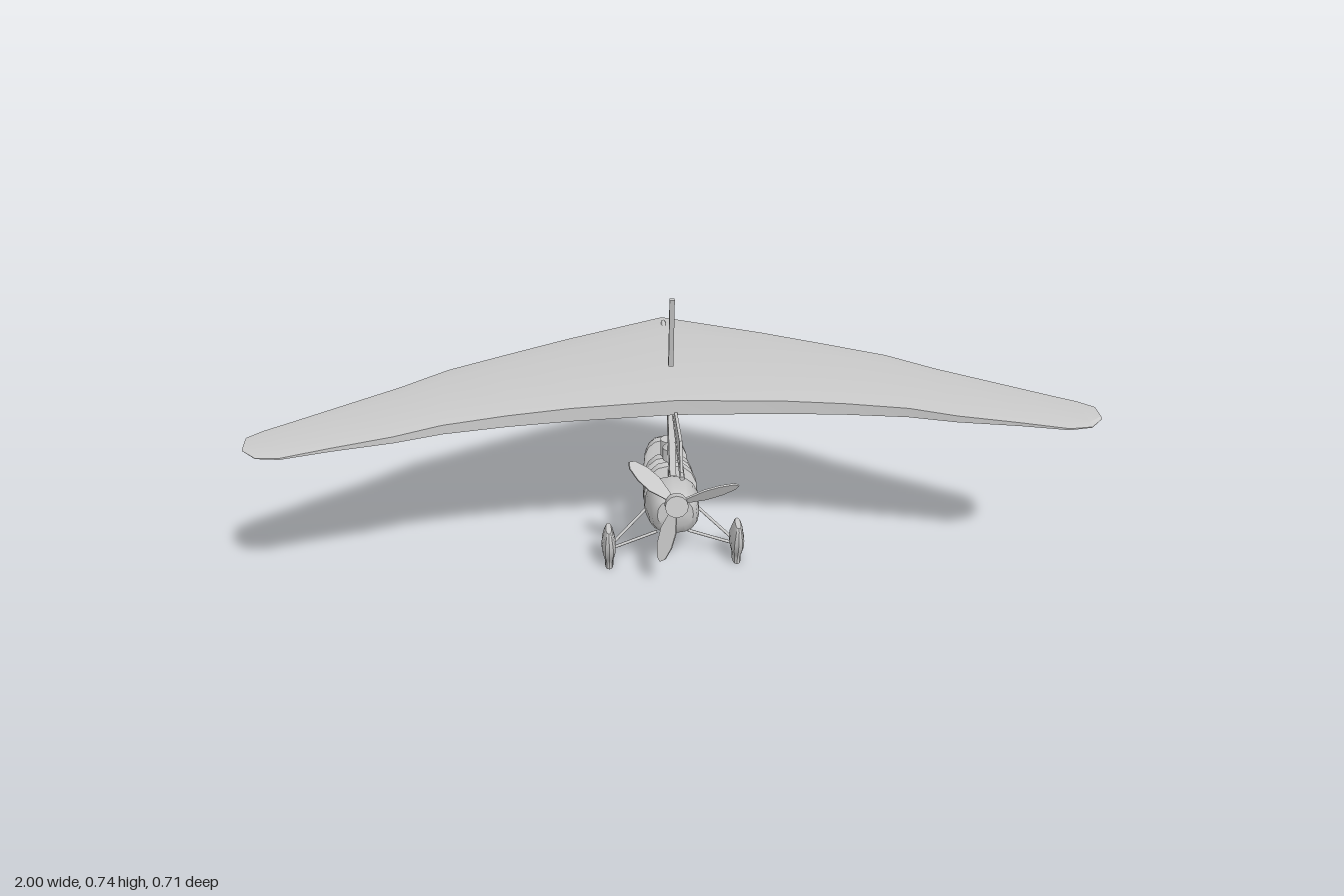
import * as THREE from 'three';
import { toCreasedNormals } from 'three/addons/utils/BufferGeometryUtils.js';

const grey = new THREE.MeshStandardMaterial({ color: 0xcccccc });
const V = (x, y, z) => new THREE.Vector3(x, y, z);

function part(name, geometry, parent) {
  const mesh = new THREE.Mesh(geometry, grey);
  mesh.name = name;
  parent.add(mesh);
  return mesh;
}

// Closed skin over rings of points, each counter-clockwise seen from the first end
function loft(rings, crease = 0.6) {
  const n = rings[0].length, pos = [], index = [];
  rings.forEach(r => r.forEach(p => pos.push(p.x, p.y, p.z)));
  for (let i = 0; i < rings.length - 1; i++) {
    for (let j = 0; j < n; j++) {
      const a = i * n + j, b = i * n + (j + 1) % n;
      index.push(a, a + n, b, b, a + n, b + n);
    }
  }
  [0, rings.length - 1].forEach(i => {
    const mid = rings[i].reduce((s, p) => s.add(p), V(0, 0, 0)).divideScalar(n);
    const c = pos.length / 3;
    pos.push(mid.x, mid.y, mid.z);
    for (let j = 0; j < n; j++) {
      const a = i * n + j, b = i * n + (j + 1) % n;
      if (i === 0) index.push(c, a, b); else index.push(c, b, a);
    }
  });
  const g = new THREE.BufferGeometry();
  g.setAttribute('position', new THREE.Float32BufferAttribute(pos, 3));
  g.setIndex(index);
  return toCreasedNormals(g, crease);
}

// Flat plate in the centre plane from [z, y] corners
function plate(corners, thickness) {
  const shape = new THREE.Shape(corners.map(c => new THREE.Vector2(c[0], c[1])));
  const g = new THREE.ExtrudeGeometry(shape, { depth: thickness, bevelEnabled: false });
  return g.translate(0, 0, -thickness / 2).rotateY(-Math.PI / 2);
}

// Round bar between two points
function bar(a, b, r) {
  const d = b.clone().sub(a);
  const g = new THREE.CylinderGeometry(r, r, d.length(), 8);
  g.applyQuaternion(new THREE.Quaternion().setFromUnitVectors(V(0, 1, 0), d.clone().normalize()));
  const m = a.clone().add(b).multiplyScalar(0.5);
  return g.translate(m.x, m.y, m.z);
}

const power = (v, e) => Math.sign(v) * Math.abs(v) ** e;

function fuselage() {
  // z, top, bottom, half width
  const stations = [
    [0.15, 0.243, 0.165, 0.045], [0.135, 0.248, 0.135, 0.056], [0.1, 0.247, 0.115, 0.064],
    [0.05, 0.243, 0.095, 0.068], [0.025, 0.235, 0.087, 0.07], [0.012, 0.21, 0.085, 0.07],
    [0, 0.25, 0.083, 0.07], [-0.02, 0.252, 0.08, 0.07], [-0.032, 0.237, 0.078, 0.07],
    [-0.065, 0.185, 0.073, 0.069], [-0.085, 0.225, 0.07, 0.068], [-0.11, 0.224, 0.066, 0.067],
    [-0.125, 0.188, 0.064, 0.066], [-0.14, 0.16, 0.062, 0.065], [-0.185, 0.135, 0.062, 0.062],
    [-0.202, 0.208, 0.063, 0.06], [-0.22, 0.21, 0.063, 0.058], [-0.24, 0.2, 0.064, 0.055],
    [-0.3, 0.153, 0.066, 0.042], [-0.335, 0.122, 0.068, 0.03], [-0.355, 0.104, 0.078, 0.018]];
  return loft(stations.map(([z, top, bottom, w]) => {
    const mid = bottom + (top - bottom) * 0.42;
    return Array.from({ length: 16 }, (_, i) => {
      const a = i / 16 * Math.PI * 2, s = Math.sin(a);
      return V(w * power(Math.cos(a), 0.8), mid + power(s, 0.85) * (s > 0 ? top - mid : mid - bottom), z);
    });
  }));
}

function wing() {
  // x, leading z, trailing z, leading y, top y, bottom y
  const half = [
    [0, -0.335, 0.155, 0.508, 0.529, 0.487], [0.25, -0.217, 0.168, 0.512, 0.525, 0.487],
    [0.4, -0.147, 0.185, 0.51, 0.521, 0.488], [0.55, -0.077, 0.212, 0.507, 0.517, 0.49],
    [0.66, 0, 0.25, 0.505, 0.513, 0.493], [0.8, 0.085, 0.285, 0.503, 0.509, 0.497],
    [0.91, 0.153, 0.316, 0.502, 0.506, 0.499], [0.965, 0.187, 0.31, 0.502, 0.505, 0.5],
    [1, 0.215, 0.272, 0.501, 0.503, 0.5]];
  const all = [...half.slice(1).reverse().map(([x, ...r]) => [-x, ...r]), ...half];
  return loft(all.map(([x, lead, trail, ly, top, bottom]) => {
    const chord = trail - lead;
    return [V(x, bottom, trail), V(x, top - 0.003, trail), V(x, top, trail - chord * 0.15),
      V(x, top - 0.001, lead + chord * 0.22), V(x, ly, lead)];
  }), 0.25);
}

// Streamlined cover with the tyre showing below
function wheelPod() {
  // y, rear-most z, front-most z, half width
  const levels = [[0.124, 0.06, 0.112, 0.007], [0.115, 0.053, 0.117, 0.011], [0.075, 0.022, 0.117, 0.018],
    [0.05, 0.01, 0.109, 0.018], [0.03, 0.024, 0.096, 0.014], [0.018, 0.028, 0.09, 0.011], [0, 0.028, 0.09, 0.011]];
  return loft(levels.map(([y, z0, z1, w]) => Array.from({ length: 12 }, (_, i) => {
    const a = i / 12 * Math.PI * 2;
    return V(w * power(Math.cos(a), 0.8), y, (z0 + z1) / 2 - (z1 - z0) / 2 * power(Math.sin(a), 0.8));
  })));
}

function propeller() {
  const prop = new THREE.Group();
  prop.name = 'propeller';
  part('propellerHub', new THREE.CylinderGeometry(0.029, 0.029, 0.022, 12).rotateX(Math.PI / 2).translate(0, 0, 0.013), prop);
  part('propellerShaft', new THREE.CylinderGeometry(0.024, 0.012, 0.035, 12).rotateX(Math.PI / 2).translate(0, 0, -0.012), prop);
  const outline = [[-0.007, 0.015], [0.007, 0.015], [0.022, 0.075], [0.021, 0.115], [0.012, 0.15], [0, 0.161],
    [-0.012, 0.15], [-0.021, 0.115], [-0.022, 0.075]];
  const shape = new THREE.Shape(outline.map(p => new THREE.Vector2(...p)));
  for (let i = 0; i < 3; i++) {
    const g = new THREE.ExtrudeGeometry(shape, { depth: 0.005, bevelEnabled: false }).translate(0, 0, -0.0025);
    part('propellerBlade', g.rotateY(0.65), prop).rotation.z = Math.PI / 4 + i * Math.PI * 2 / 3;
  }
  prop.position.set(0, 0.247, 0.172);
  prop.rotation.x = -0.17;
  return prop;
}

export function createModel() {
  const model = new THREE.Group();
  model.name = 'ultralightTrike';

  part('fuselage', fuselage(), model);
  part('wing', wing(), model);

  // Wing support
  part('keel', bar(V(0, 0.431, 0.354), V(0, 0.522, -0.28), 0.006), model);
  part('keelFin', plate([[0.31, 0.505], [0.327, 0.46], [0.34, 0.438], [0.354, 0.436], [-0.06, 0.492], [0.1, 0.49]], 0.007), model);
  part('mast', plate([[-0.064, 0.492], [-0.043, 0.465], [-0.015, 0.447], [0.073, 0.265], [0.028, 0.255],
    [0.024, 0.22], [0.015, 0.22]], 0.016), model);
  part('kingPost', plate([[-0.015, 0.536], [0, 0.536], [0.044, 0.736], [0.034, 0.736]], 0.012), model);

  // Two occupants' helmets
  const helmet = [[0, 0.258], [0.02, 0.258], [0.02, 0.292], [0.006, 0.307], [0, 0.308]].map(p => new THREE.Vector2(...p));
  part('rearHelmet', toCreasedNormals(new THREE.LatheGeometry(helmet, 12), 0.5), model).position.z = -0.023;
  part('frontHelmet', new THREE.CylinderGeometry(0.02, 0.02, 0.047, 12), model).position.set(0, 0.244, -0.107);

  // Undercarriage
  for (const side of [-1, 1]) {
    part('wheelPod', wheelPod(), model).position.x = side * 0.165;
    part('upperStrut', bar(V(side * 0.056, 0.145, 0.015), V(side * 0.16, 0.055, 0.06), 0.004), model);
    part('lowerStrut', bar(V(side * 0.04, 0.085, 0.05), V(side * 0.16, 0.045, 0.06), 0.004), model);
  }
  part('noseWheel', plate([[-0.227, 0.075], [-0.229, 0.026], [-0.262, 0.009], [-0.295, 0.02], [-0.303, 0.075]], 0.022), model);

  model.add(propeller());
  return model;
}
